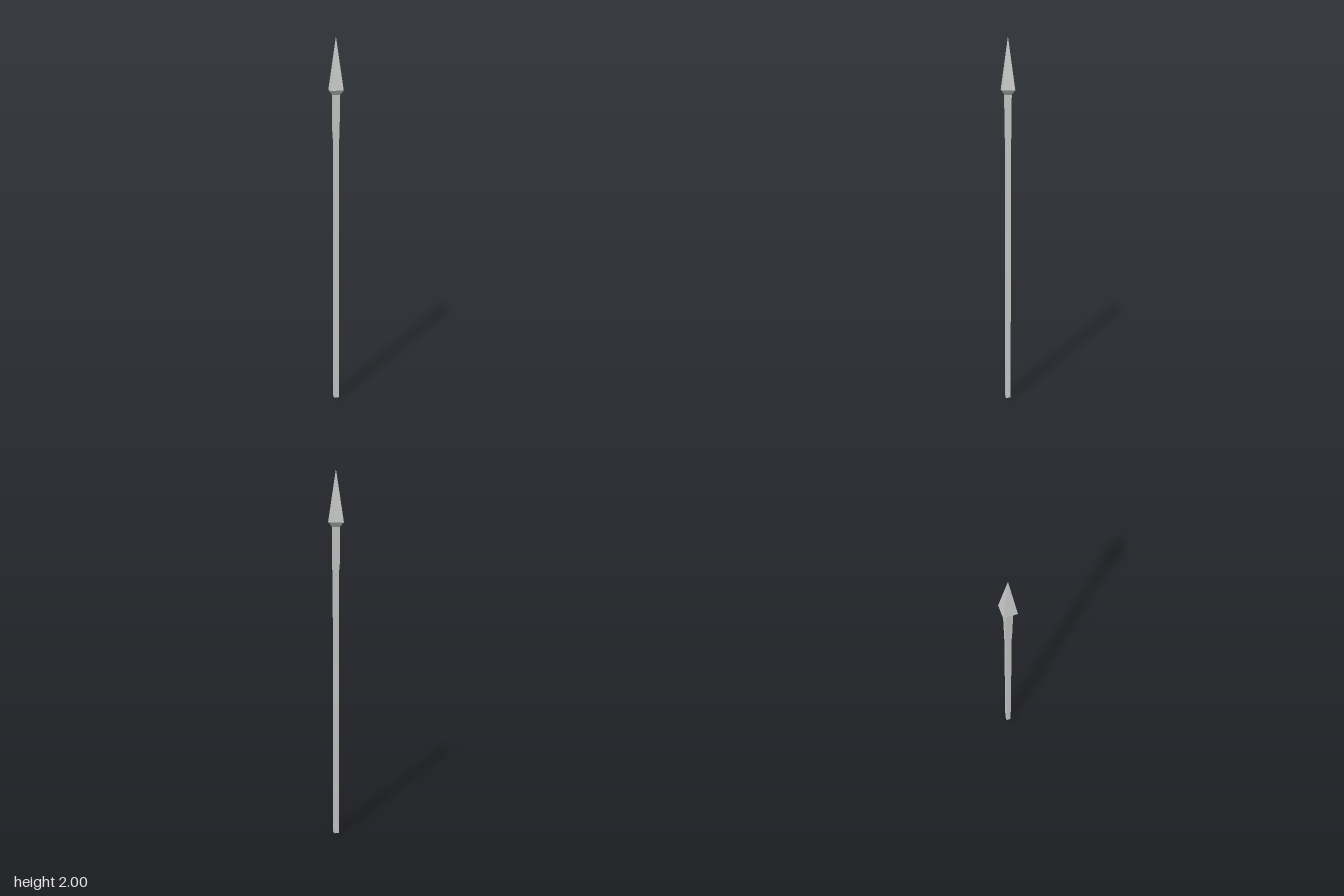
import * as THREE from 'three';

const material = new THREE.MeshStandardMaterial({ color: 0xcccccc, flatShading: true });

// Four-sided section between two heights, corners on the x and z axes
function section(name, bottom, top, rBottom, rTop, openEnded = false) {
  const geometry = new THREE.CylinderGeometry(rTop, rBottom, top - bottom, 4, 1, openEnded);
  const mesh = new THREE.Mesh(geometry, material);
  mesh.name = name;
  mesh.position.y = (bottom + top) / 2;
  return mesh;
}

export function createModel() {
  const spear = new THREE.Group();
  spear.name = 'spear';

  // Long wooden pole
  spear.add(section('shaft', 0, 1.6, 0.02, 0.02));

  // Head: socket around the pole, flared collar and pointed blade
  const head = new THREE.Group();
  head.name = 'head';
  head.add(
    section('socket', 1.49, 1.715, 0.023, 0.025),
    section('collar', 1.712, 1.735, 0.025, 0.048, true),
    section('blade', 1.735, 2, 0.048, 0, true),
  );
  spear.add(head);
  return spear;
}
